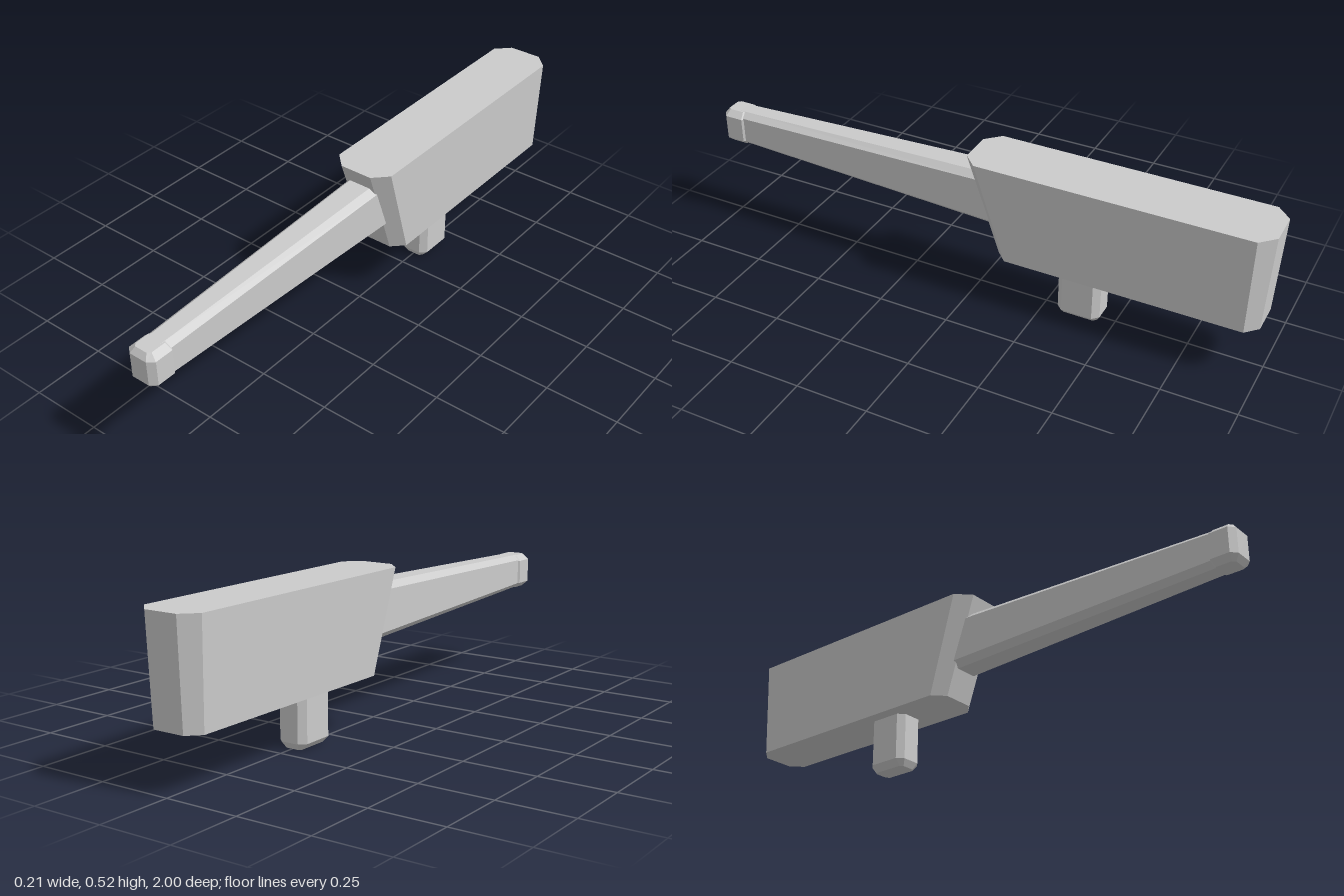
import * as THREE from 'three';

const grey = new THREE.MeshStandardMaterial({ color: 0xcccccc, flatShading: true });

// Corner-cut rectangle at height y, counter-clockwise seen from above
function ring({ y, w, front, back, cutX, cutF, cutB = cutF }) {
  return [
    [-w + cutX, front], [w - cutX, front], [w, front - cutF], [w, back + cutB],
    [w - cutX, back], [-w + cutX, back], [-w, back + cutB], [-w, front - cutF],
  ].map(([x, z]) => [x, y, z]);
}

// Closed, flat-shaded solid through a stack of rings
function loft(name, sections) {
  const rings = sections.map(ring);
  const top = rings[rings.length - 1];
  const n = 8;
  const pos = [];
  const tri = (a, b, c) => pos.push(...a, ...b, ...c);
  for (let r = 0; r < rings.length - 1; r++) {
    for (let i = 0; i < n; i++) {
      const j = (i + 1) % n;
      tri(rings[r][i], rings[r][j], rings[r + 1][j]);
      tri(rings[r][i], rings[r + 1][j], rings[r + 1][i]);
    }
  }
  for (let i = 1; i < n - 1; i++) {
    tri(rings[0][0], rings[0][i + 1], rings[0][i]);
    tri(top[0], top[i], top[i + 1]);
  }
  const geometry = new THREE.BufferGeometry();
  geometry.setAttribute('position', new THREE.Float32BufferAttribute(pos, 3));
  geometry.computeVertexNormals();
  const mesh = new THREE.Mesh(geometry, grey);
  mesh.name = name;
  return mesh;
}

export function createModel() {
  const model = new THREE.Group();
  model.name = 'mountedBarrel';

  // Long housing with a raked front and slightly flared top
  model.add(loft('housing', [
    { y: 0.184, w: 0.096, front: -0.095, back: -0.985, cutX: 0.041, cutF: 0.04 },
    { y: 0.524, w: 0.106, front: 0.02, back: -1, cutX: 0.048, cutF: 0.048 },
  ]));

  // Mounting peg with a bevelled foot
  model.add(loft('mountingPeg', [
    { y: 0, w: 0.032, front: -0.318, back: -0.442, cutX: 0.01, cutF: 0.01 },
    { y: 0.022, w: 0.053, front: -0.305, back: -0.455, cutX: 0.021, cutF: 0.021 },
    { y: 0.25, w: 0.053, front: -0.305, back: -0.455, cutX: 0.021, cutF: 0.021 },
  ]));

  // Tapered barrel, lofted upright then laid forward along +z
  const barrel = loft('barrel', [
    { y: -0.12, w: 0.064, front: -0.278, back: -0.469, cutX: 0.023, cutF: 0.022 },
    { y: 0.94, w: 0.046, front: -0.314, back: -0.438, cutX: 0.02, cutF: 0.018 },
  ]);
  barrel.rotation.x = Math.PI / 2;
  model.add(barrel);

  // Muzzle block, bevelled above and below
  const rim = { w: 0.053, front: 1, back: 0.9, cutX: 0.021, cutF: 0.018 };
  const cap = { w: 0.032, front: 0.985, back: 0.913, cutX: 0.01, cutF: 0.01 };
  model.add(loft('muzzle', [
    { y: 0.313, ...cap }, { y: 0.332, ...rim }, { y: 0.418, ...rim }, { y: 0.438, ...cap },
  ]));

  return model;
}
